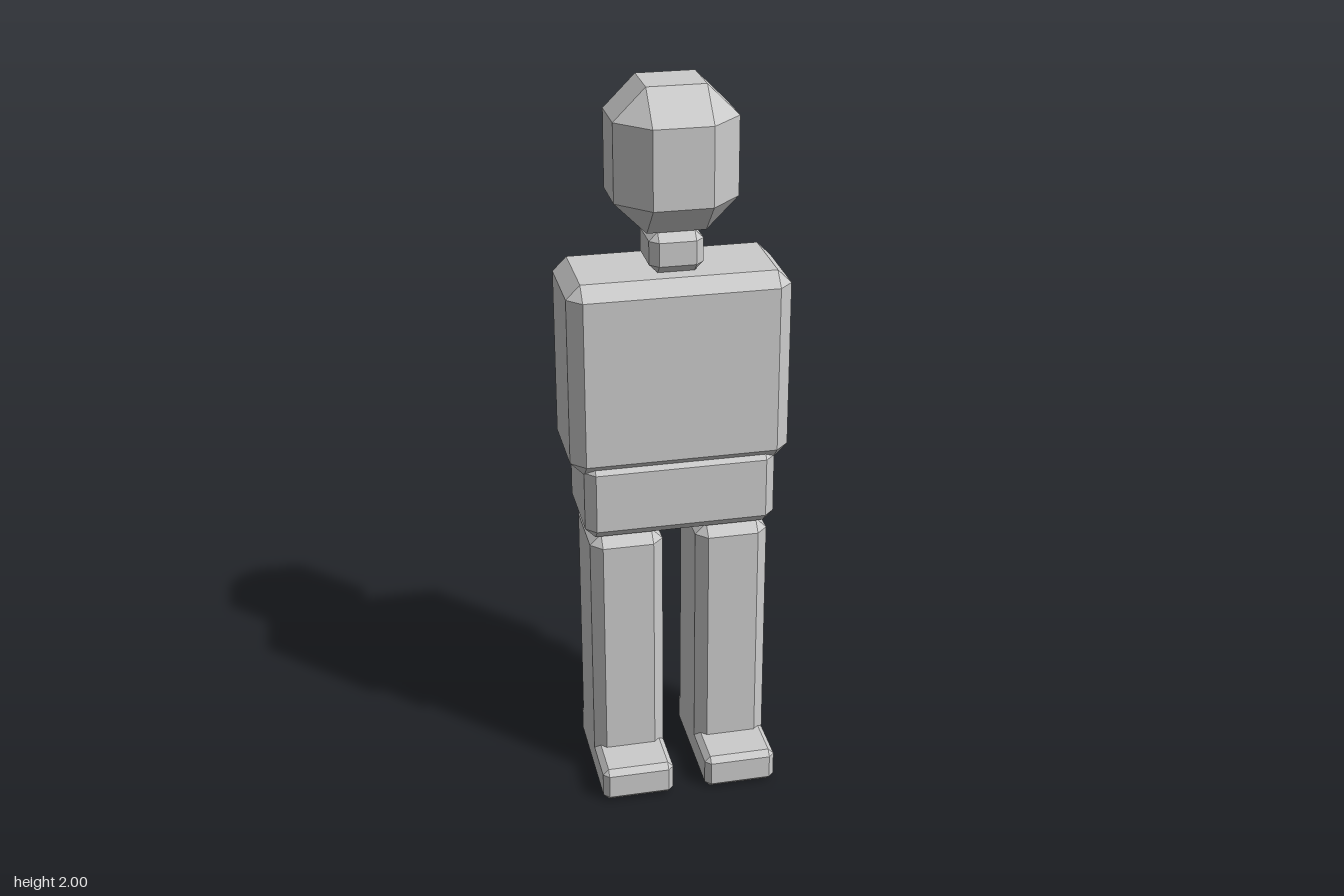
import * as THREE from 'three';
import { ConvexGeometry } from 'three/addons/geometries/ConvexGeometry.js';

const grey = new THREE.MeshStandardMaterial({ color: 0xcccccc });
grey.name = 'grey';

// Box with every edge and corner cut flat by c
function chamferBox(name, [x0, x1], [y0, y1], [z0, z1], c) {
  const w = (x1 - x0) / 2, h = (y1 - y0) / 2, d = (z1 - z0) / 2;
  const points = [];
  for (const x of [-1, 1]) for (const y of [-1, 1]) for (const z of [-1, 1]) {
    points.push(
      new THREE.Vector3(x * w, y * (h - c), z * (d - c)),
      new THREE.Vector3(x * (w - c), y * h, z * (d - c)),
      new THREE.Vector3(x * (w - c), y * (h - c), z * d)
    );
  }
  const mesh = new THREE.Mesh(new ConvexGeometry(points), grey);
  mesh.name = name;
  mesh.position.set((x0 + x1) / 2, (y0 + y1) / 2, (z0 + z1) / 2);
  return mesh;
}

export function createModel() {
  const model = new THREE.Group();
  model.name = 'figure';

  // Head and trunk
  model.add(
    chamferBox('head', [-0.163, 0.163], [1.62, 2.0], [-0.204, 0.104], 0.085),
    chamferBox('neck', [-0.072, 0.072], [1.51, 1.62], [-0.125, 0.037], 0.023),
    chamferBox('torso', [-0.298, 0.298], [0.97, 1.51], [-0.195, 0.097], 0.038),
    chamferBox('hips', [-0.262, 0.262], [0.78, 1.005], [-0.184, 0.09], 0.028)
  );

  // Legs and feet, one pair per side
  for (const [side, s] of [['left', 1], ['right', -1]]) {
    const spanX = s > 0 ? [0.046, 0.248] : [-0.248, -0.046];
    model.add(
      chamferBox(side + 'Leg', spanX, [0, 0.78], [-0.17, 0.08], 0.031),
      chamferBox(side + 'Foot', spanX, [0, 0.1], [-0.17, 0.202], 0.016)
    );
  }
  return model;
}
